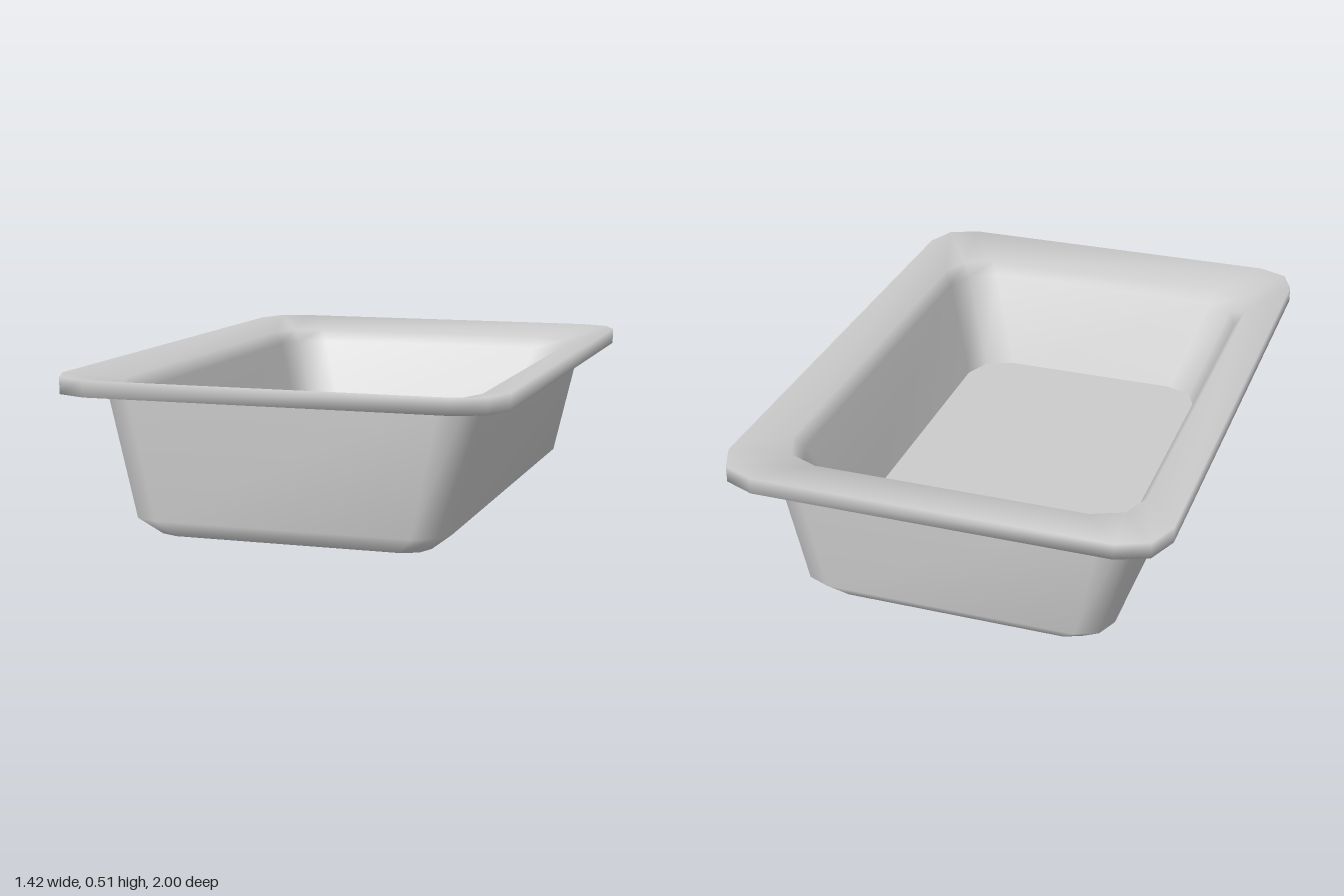
import * as THREE from 'three';

const material = new THREE.MeshStandardMaterial({ color: 0xcccccc, side: THREE.DoubleSide });

// Rectangle outline (half sizes hx, hz) with corners rounded in two segments
function outline(hx, hz, r) {
  const points = [];
  for (let corner = 0; corner < 4; corner++) {
    const sx = corner === 0 || corner === 3 ? 1 : -1;
    const sz = corner < 2 ? 1 : -1;
    for (let k = 0; k <= 2; k++) {
      const a = (corner + k / 2) * Math.PI / 2;
      points.push([sx * (hx - r) + r * Math.cos(a), sz * (hz - r) + r * Math.sin(a)]);
    }
  }
  return points;
}

// Smooth skin through rings given as [half width, half length, height, corner radius]
function loft(name, rings) {
  const positions = [], index = [], n = 12;
  rings.forEach(([hx, hz, y, r], j) => {
    outline(hx, hz, r).forEach(([x, z], i) => {
      positions.push(x, y, z);
      if (j === rings.length - 1) return;
      const a = j * n + i, b = j * n + (i + 1) % n;
      index.push(a, a + n, b, b, a + n, b + n);
    });
  });
  const geometry = new THREE.BufferGeometry();
  geometry.setAttribute('position', new THREE.Float32BufferAttribute(positions, 3));
  geometry.setIndex(index);
  geometry.computeVertexNormals();
  const mesh = new THREE.Mesh(geometry, material);
  mesh.name = name;
  return mesh;
}

export function createModel() {
  const group = new THREE.Group();
  group.name = 'tray';

  // Folded lip, sloping rim and inner basin walls
  group.add(loft('rimAndBasin', [
    [0.66, 0.95, 0.455, 0.12],
    [0.708, 1, 0.455, 0.14],
    [0.708, 1, 0.507, 0.14],
    [0.58, 0.815, 0.472, 0.14],
    [0.55, 0.785, 0.43, 0.135],
    [0.44, 0.66, 0.13, 0.13],
  ]));

  // Outer body, open underneath
  group.add(loft('outerBody', [
    [0.44, 0.8, 0, 0.08],
    [0.51, 0.85, 0.055, 0.1],
    [0.61, 0.86, 0.48, 0.11],
  ]));

  // Raised basin floor
  const shape = new THREE.Shape(outline(0.44, 0.66, 0.13).map(([x, z]) => new THREE.Vector2(x, z)));
  const floor = new THREE.Mesh(new THREE.ShapeGeometry(shape).rotateX(-Math.PI / 2), material);
  floor.name = 'basinFloor';
  floor.position.y = 0.13;
  group.add(floor);

  return group;
}
